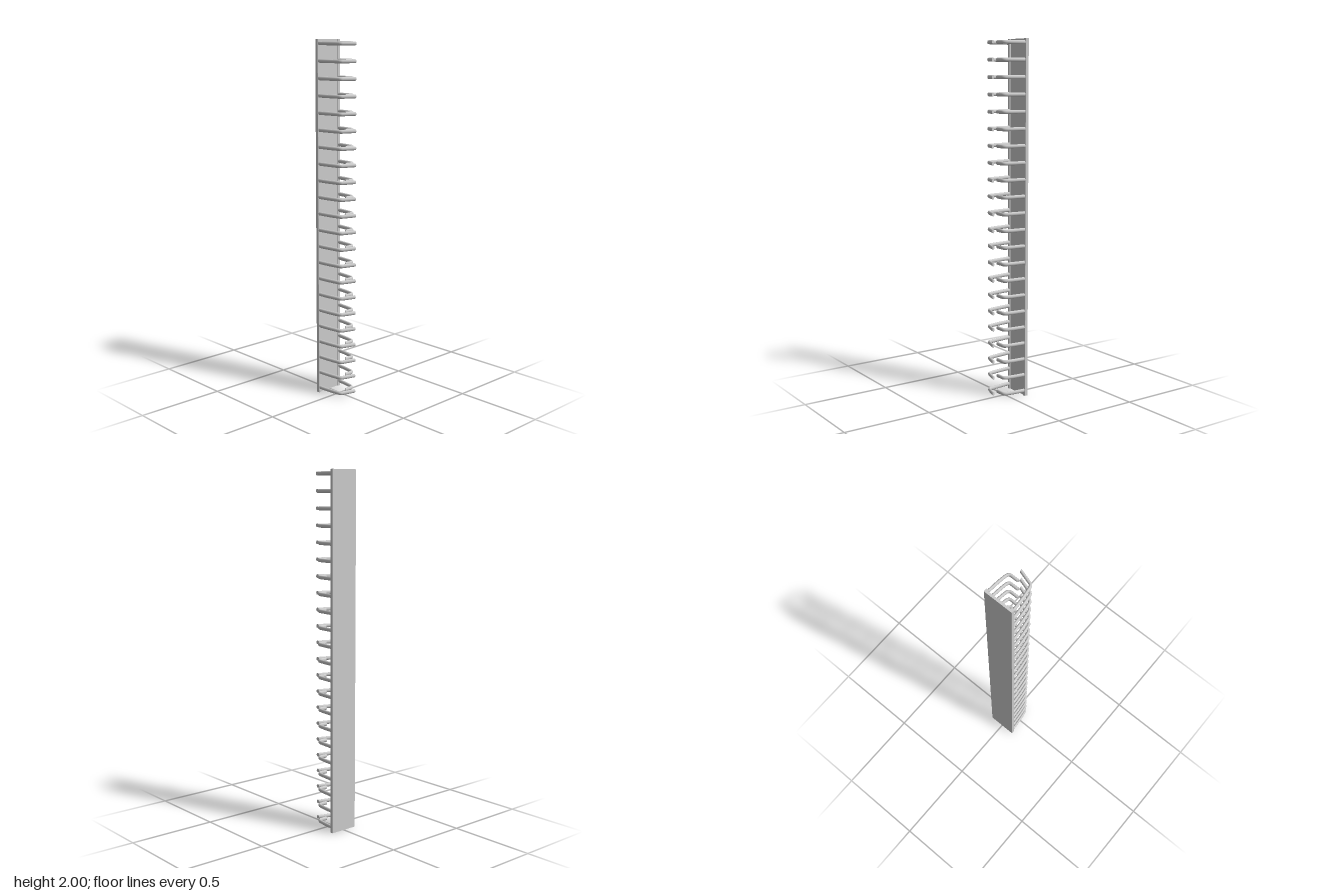
import * as THREE from 'three';

const material = new THREE.MeshStandardMaterial({ color: 0xcccccc });
const V = (x, z) => new THREE.Vector3(x, 0, z);

// Shallow U-shaped backing strip, extruded along its height
function stripGeometry() {
  const w = 0.084, back = 0.101, floor = 0.088, lip = 0.081, inner = 0.067, r = 0.003;
  const s = new THREE.Shape();
  s.moveTo(-w + r, lip);
  s.lineTo(-inner, lip);
  s.lineTo(-inner, floor);
  s.lineTo(inner, floor);
  s.lineTo(inner, lip);
  s.lineTo(w - r, lip);
  s.quadraticCurveTo(w, lip, w, lip + r);
  s.lineTo(w, back - r);
  s.quadraticCurveTo(w, back, w - r, back);
  s.lineTo(-w + r, back);
  s.quadraticCurveTo(-w, back, -w, back - r);
  s.lineTo(-w, lip + r);
  s.quadraticCurveTo(-w, lip, -w + r, lip);
  const g = new THREE.ExtrudeGeometry(s, { depth: 2, bevelEnabled: false, curveSegments: 4 });
  return g.rotateX(-Math.PI / 2);
}

// Samples a gently bowed arm, a rounded elbow and a straight finger
function fingerPath(root, bow, elbowIn, elbow, elbowOut, tip) {
  const arm = new THREE.QuadraticBezierCurve3(root, bow, elbowIn).getPoints(6);
  const bend = new THREE.QuadraticBezierCurve3(elbowIn, elbow, elbowOut).getPoints(8);
  return [...arm, ...bend.slice(1), tip];
}

// Sweeps an oval section along the path; the free end is cut at a slant and capped
function fingerGeometry(points, innerSide) {
  const sides = 14, rx = 0.0076, ry = 0.0105, skew = 0.6;
  const pos = [], index = [];
  const last = points.length - 1;
  const ring = (i, scale, cut) => {
    const a = points[Math.max(i - 1, 0)], b = points[Math.min(i + 1, last)];
    const t = b.clone().sub(a).normalize();
    const n = new THREE.Vector3(-t.z, 0, t.x);
    for (let k = 0; k < sides; k++) {
      const ang = (k / sides) * Math.PI * 2;
      const off = Math.cos(ang) * rx * scale;
      const p = points[i].clone().addScaledVector(n, off);
      p.addScaledVector(t, cut ? off * innerSide * skew : 0);
      pos.push(p.x, Math.sin(ang) * ry * scale, p.z);
    }
  };
  for (let i = 0; i <= last; i++) ring(i, 1, i === last);
  for (let i = 0; i < last; i++) {
    for (let k = 0; k < sides; k++) {
      const a = i * sides + k, b = i * sides + (k + 1) % sides;
      index.push(a, a + sides, b, b, a + sides, b + sides);
    }
  }
  const cap = pos.length / 3;
  ring(last, 1, true);
  for (let k = 1; k < sides - 1; k++) index.push(cap, cap + k + 1, cap + k);
  // Make the winding face outward
  for (let i = 0; i < index.length; i += 3) {
    const [p, q, r] = [0, 1, 2].map((j) => new THREE.Vector3().fromArray(pos, index[i + j] * 3));
    if (i === 0) {
      const face = q.clone().sub(p).cross(r.clone().sub(p));
      const out = p.clone().add(q).add(r).divideScalar(3).sub(points[0].clone().lerp(points[1], 0.5));
      if (face.dot(out) >= 0) break;
    }
    [index[i + 1], index[i + 2]] = [index[i + 2], index[i + 1]];
  }
  const g = new THREE.BufferGeometry();
  g.setAttribute('position', new THREE.Float32BufferAttribute(pos, 3));
  g.setIndex(index);
  g.computeVertexNormals();
  return g;
}

export function createModel() {
  const model = new THREE.Group();
  model.name = 'bindingStrip';

  const strip = new THREE.Mesh(stripGeometry(), material);
  strip.name = 'backStrip';
  model.add(strip);

  // Long outer finger on the right side, short inner finger on the left side
  const outer = fingerGeometry(fingerPath(
    V(-0.075, -0.09), V(-0.071, -0.005), V(-0.06, 0.054), V(-0.057, 0.07), V(-0.044, 0.073), V(0.026, 0.094)), 1);
  const inner = fingerGeometry(fingerPath(
    V(0.075, -0.09), V(0.071, -0.02), V(0.0635, 0.025), V(0.06, 0.047), V(0.043, 0.047), V(0.001, 0.047)), -1);

  // Evenly spaced rings up the strip
  const count = 22, first = 0.03, step = 1.949 / (count - 1);
  for (let i = 0; i < count; i++) {
    const loop = new THREE.Group();
    loop.name = `ring${i + 1}`;
    for (const [name, geometry] of [['outerFinger', outer], ['innerFinger', inner]]) {
      const mesh = new THREE.Mesh(geometry, material);
      mesh.name = name;
      loop.add(mesh);
    }
    loop.position.y = first + i * step;
    model.add(loop);
  }
  return model;
}
